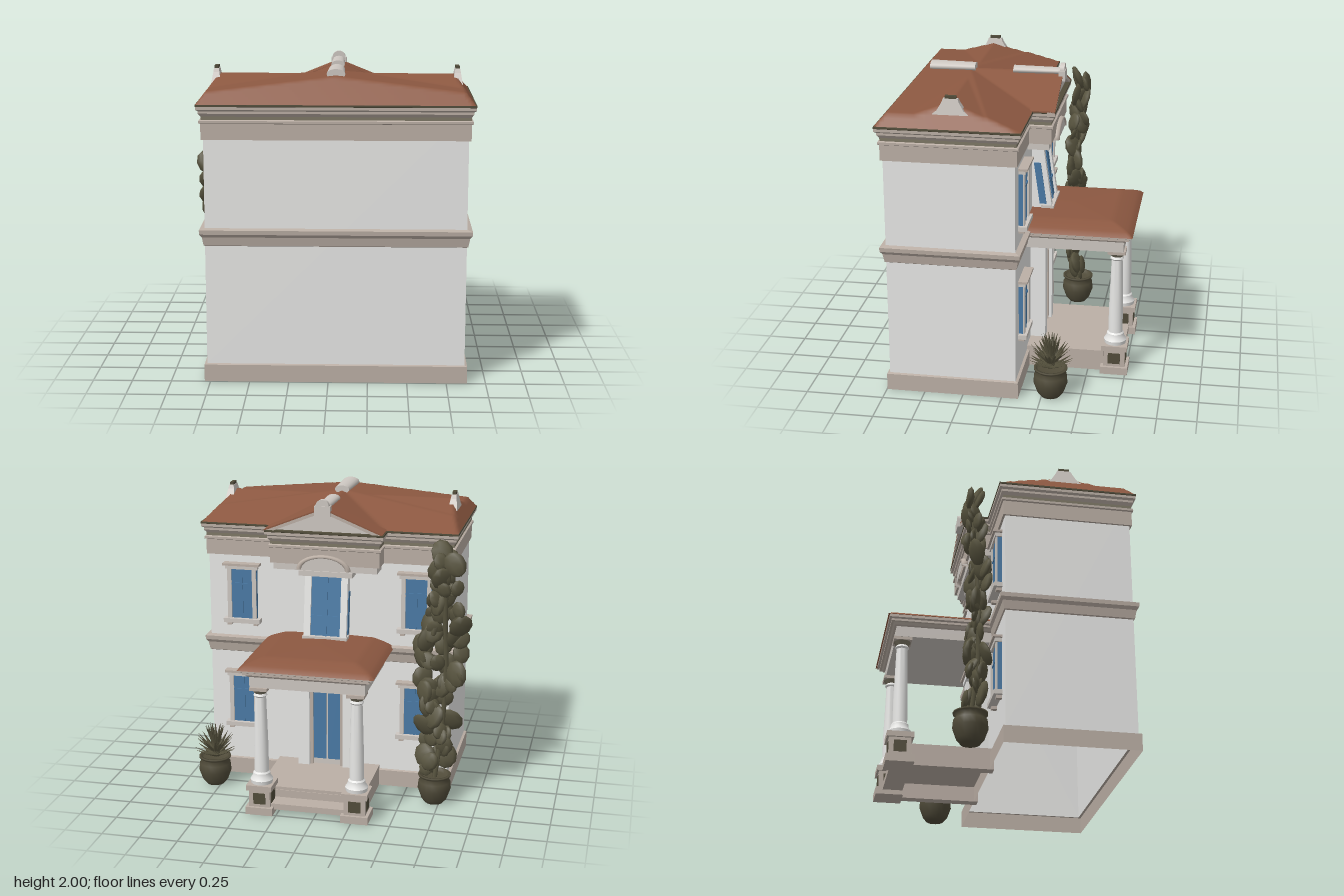
import * as THREE from 'three';
import { toCreasedNormals } from 'three/addons/utils/BufferGeometryUtils.js';

const mat = (name, color, side = THREE.FrontSide) => {
  const m = new THREE.MeshStandardMaterial({ color, side });
  m.name = name;
  return m;
};

export function createModel() {
  const plaster = mat('white plaster', 0xececea, THREE.DoubleSide), stone = mat('warm stone', 0xbbafa5, THREE.DoubleSide);
  const tile = mat('terracotta roof', 0x8c5841, THREE.DoubleSide), glass = mat('blue glass', 0x4a7aa5);
  const bronze = mat('weathered bronze', 0x7d7765), leaf = mat('dark foliage', 0x58543f, THREE.DoubleSide);
  const pale = mat('pale stone', 0xcdc7c1, THREE.DoubleSide), clay = mat('plant pot', 0x514c3a, THREE.DoubleSide);
  const house = new THREE.Group();
  house.name = 'house';
  const CX = 0.045; // symmetry axis of the house

  const add = (name, geo, material, parent = house) => {
    const m = new THREE.Mesh(geo, material);
    m.name = name;
    parent.add(m);
    return m;
  };
  // block given by its limits
  const block = (name, x0, x1, y0, y1, z0, z1, material, parent = house) => {
    const g = new THREE.BoxGeometry(x1 - x0, y1 - y0, z1 - z0);
    return add(name, g.translate((x0 + x1) / 2, (y0 + y1) / 2, (z0 + z1) / 2), material, parent);
  };
  const prism = (pts, depth) => new THREE.ExtrudeGeometry(
    new THREE.Shape(pts.map(p => new THREE.Vector2(...p))), { depth, bevelEnabled: false });
  // [z, y] outline extruded along x
  const prismX = (pts, x0, x1) => prism(pts, x1 - x0).rotateY(-Math.PI / 2).translate(x1, 0, 0);

  // open shell: an [outset, y] profile swept round a footprint of [x, z, outward x, outward z]
  const shell = (name, foot, profile, material) => {
    const pos = [];
    const at = ([x, z, sx, sz], [out, y]) => [x + sx * out, y, z + sz * out];
    for (let j = 0; j + 1 < profile.length; j++) foot.forEach((c, i) => {
      const d = foot[(i + 1) % foot.length];
      const [a, b, e, f] = [at(c, profile[j]), at(d, profile[j]), at(d, profile[j + 1]), at(c, profile[j + 1])];
      pos.push(...a, ...b, ...e, ...a, ...e, ...f);
    });
    const g = new THREE.BufferGeometry();
    g.setAttribute('position', new THREE.Float32BufferAttribute(pos, 3));
    g.computeVertexNormals();
    add(name, g, material);
  };
  const rect = (x0, x1, z0, z1) => [[x0, z1, -1, 1], [x1, z1, 1, 1], [x1, z0, 1, -1], [x0, z0, -1, -1]];
  const body = rect(-0.77, 0.865, -0.09, 0.73);
  const bay = [[0.39, -0.09, 1, -1], [0.39, -0.232, 1, -1], [-0.31, -0.232, -1, -1], [-0.31, -0.09, -1, -1]];
  const withBay = [...body.slice(0, 3), ...bay, body[3]];

  // walls and horizontal mouldings
  shell('plinth', body, [[0.017, 0], [0.017, 0.11], [0, 0.115]], stone);
  shell('walls', body, [[0, 0.11], [0, 1.75]], plaster);
  shell('middleFrieze', body, [[0, 0.885], [0.008, 0.89], [0.018, 0.945]], stone);
  shell('middleCornice', body, [[0.018, 0.945], [0.032, 0.965], [0.034, 0.992], [0, 1]], stone);
  shell('frieze', withBay, [[0, 1.56], [0.014, 1.56], [0.014, 1.66], [0.024, 1.665], [0.024, 1.68], [0.012, 1.685]], stone);
  shell('friezeShadowLine', withBay, [[0.012, 1.685], [0.012, 1.705]], bronze);
  shell('cornice', withBay, [[0.012, 1.705], [0.026, 1.725], [0.026, 1.74], [0.04, 1.75], [0.04, 1.768]], stone);
  shell('gutter', withBay, [[0.04, 1.768], [0.043, 1.77], [0.043, 1.781], [0, 1.781]], clay);

  // main roof: steep edges on three sides, shallow cross ridges above
  const roof = new THREE.PlaneGeometry(1.71, 0.9, 96, 72).rotateX(-Math.PI / 2).translate(CX, 0, 0.32);
  const rp = roof.attributes.position;
  for (let i = 0; i < rp.count; i++) {
    const z = rp.getZ(i), ax = Math.abs(rp.getX(i) - CX);
    const top = Math.max(0.14 - 0.31 * Math.abs(z - 0.32), 0.16 - 0.11 * ax);
    const slope = Math.min(top, 1.3 * (0.855 - ax), 0.34 * (z + 0.13));
    rp.setY(i, 1.782 + Math.max(0, Math.min(1.15 * (0.77 - z), Math.max(slope, 0.16 - 0.42 * ax))));
  }
  roof.computeVertexNormals();
  add('mainRoof', roof, tile);

  // pediment above the projecting bay
  add('pedimentFace', prism([[-0.32, 1.78], [0.41, 1.78], [CX, 1.925]], 0.13).translate(0, 0, -0.24), pale);
  for (const s of [-1, 1]) {
    const rake = (lo, hi) => [[CX + s * 0.39, 1.78 + lo], [CX, 1.938 + lo], [CX, 1.938 + hi], [CX + s * 0.39, 1.78 + hi]];
    add('pedimentRake', prism(rake(-0.026, 0), 0.05).translate(0, 0, -0.27), stone);
    add('pedimentRoof', prism(rake(-0.004, 0.005), 0.16).translate(0, 0, -0.272), tile);
  }

  // ridge stones and finial
  const ridgeCap = (z0, z1, y, r) => {
    const g = new THREE.CylinderGeometry(r, r * 0.85, z1 - z0, 16).rotateX(Math.PI / 2);
    add('ridgeCap', g.scale(1, 0.55, 1).translate(CX, y, (z0 + z1) / 2), pale);
  };
  ridgeCap(0.3, 0.595, 1.95, 0.058);
  ridgeCap(-0.26, 0.05, 1.945, 0.045);
  block('finialBlock', CX - 0.052, CX + 0.052, 1.89, 1.955, -0.288, -0.245, pale);
  add('finialDisc', new THREE.CylinderGeometry(0.045, 0.045, 0.03, 20).rotateX(Math.PI / 2).translate(CX, 1.953, -0.268), pale);

  // end chimneys, thinning towards the top
  const half = [[0.115, 1.825], [0.11, 1.862], [0.085, 1.88], [0.055, 1.93], [0.045, 1.955]];
  const scroll = [...half.map(([z, y]) => [0.31 + z, y]), ...half.slice().reverse().map(([z, y]) => [0.31 - z, y])];
  for (const x of [-0.72, 0.81]) {
    const g = prismX(scroll, -0.034, 0.034), p = g.attributes.position;
    for (let i = 0; i < p.count; i++) p.setX(i, p.getX(i) * (1.1 - 5 * (p.getY(i) - 1.825)));
    g.computeVertexNormals();
    add('endChimney', g.translate(x, 0, 0), pale);
    block('endChimneyCap', x - 0.013, x + 0.013, 1.945, 1.972, 0.275, 0.345, clay);
  }

  // side windows with frame, bars, sill and hood
  const makeWindow = (x, y0, y1) => {
    const g = new THREE.Group();
    g.name = 'window';
    house.add(g);
    const b = (n, a, c, d, e, z0, m) => block(n, x + a, x + c, d, e, z0, -0.088, m, g);
    b('pane', -0.1, 0.1, y0, y1, -0.117, glass);
    for (const s of [-1, 1]) b('jamb', s * 0.085 - 0.014, s * 0.085 + 0.014, y0, y1, -0.128, pale);
    b('centreBar', -0.006, 0.006, y0, y1, -0.123, glass);
    const bar = y0 + (y1 - y0) * 0.68;
    b('crossBar', -0.085, 0.085, bar, bar + 0.012, -0.123, glass);
    b('sill', -0.125, 0.125, y0 - 0.03, y0, -0.145, pale);
    b('head', -0.11, 0.11, y1, y1 + 0.025, -0.135, pale);
    b('hood', -0.125, 0.125, y1 + 0.025, y1 + 0.04, -0.15, stone);
    for (const s of [-1, 1]) b('bracket', s * 0.09 - 0.015, s * 0.09 + 0.015, y0 - 0.05, y0 - 0.03, -0.125, stone);
  };
  for (const x of [CX - 0.59, CX + 0.59]) {
    makeWindow(x, 0.39, 0.72);
    makeWindow(x, 1.13, 1.47);
  }

  // entrance door in its projecting surround
  for (const s of [-1, 1]) {
    const x = CX + s * 0.155;
    block('doorPilaster', x - 0.04, x + 0.04, 0.14, 0.79, -0.19, -0.08, plaster);
    block('doorStrip', x - s * 0.05 - 0.012, x - s * 0.05 + 0.012, 0.14, 0.77, -0.17, -0.08, stone);
    block('doorLeaf', CX + s * 0.05 - 0.044, CX + s * 0.05 + 0.044, 0.18, 0.76, -0.158, -0.149, glass);
  }
  block('doorBack', CX - 0.12, CX + 0.12, 0.14, 0.8, -0.15, -0.08, pale);
  block('doorHead', CX - 0.205, CX + 0.205, 0.79, 0.82, -0.2, -0.08, plaster);
  block('doorHood', CX - 0.21, CX + 0.21, 0.82, 0.84, -0.215, -0.08, stone);

  // balcony door, splayed forward at its foot
  const lean = (name, x0, x1, y0, y1, out, thick, material) => {
    const z = y => -0.2 + (y - 1.04) * 0.14 - out;
    add(name, prismX([[z(y0), y0], [z(y0) + thick, y0], [z(y1) + thick, y1], [z(y1), y1]], x0, x1), material);
  };
  add('balconySplay', prismX([[-0.09, 1.02], [-0.195, 1.04], [-0.13, 1.5], [-0.09, 1.5]], CX - 0.14, CX + 0.14), plaster);
  lean('balconyPane', CX - 0.1, CX + 0.1, 1.07, 1.47, 0.009, 0.008, glass);
  for (const s of [-1, 1]) {
    lean('balconyJamb', CX + s * 0.122 - 0.022, CX + s * 0.122 + 0.022, 1.05, 1.5, 0.025, 0.03, plaster);
    lean('balconySideGlass', CX + s * 0.143 - 0.004, CX + s * 0.143 + 0.004, 1.08, 1.36, -0.008, 0.045, glass);
  }
  lean('balconyCentre', CX - 0.01, CX + 0.01, 1.07, 1.47, 0.016, 0.008, glass);
  lean('balconyRail', CX - 0.1, CX + 0.1, 1.19, 1.205, 0.016, 0.008, glass);
  block('balconySill', CX - 0.15, CX + 0.15, 1.03, 1.07, -0.235, -0.15, pale);
  block('balconyHead', CX - 0.18, CX + 0.18, 1.47, 1.505, -0.2, -0.08, pale);
  block('bayBeam', -0.305, 0.385, 1.515, 1.56, -0.228, -0.08, pale);
  const hood = new THREE.CylinderGeometry(0.16, 0.16, 0.05, 24, 1, false, Math.PI / 2, Math.PI).rotateX(Math.PI / 2);
  add('balconyArchPanel', hood.scale(1, 0.55, 1).translate(CX, 1.53, -0.24), pale);
  const arch = new THREE.TorusGeometry(0.16, 0.02, 8, 24, Math.PI).scale(1, 0.55, 1.2);
  add('balconyArch', arch.translate(CX, 1.53, -0.25), stone);

  // porch floor, columns and beams
  block('porchFloor', -0.25, 0.34, 0.1, 0.14, -0.6, -0.08, stone);
  block('porchStep', -0.22, 0.31, 0.03, 0.07, -0.72, -0.59, stone);
  block('porchRiser', -0.22, 0.31, 0.03, 0.12, -0.605, -0.59, stone);
  const columnProfile = [[0, 0.2], [0.07, 0.2], [0.074, 0.225], [0.058, 0.25], [0.056, 0.27], [0.047, 0.28], [0.046, 0.45],
    [0.036, 0.79], [0.045, 0.8], [0.038, 0.815]].map(p => new THREE.Vector2(...p));
  const capitalProfile = [[0.038, 0.815], [0.058, 0.845], [0, 0.845]].map(p => new THREE.Vector2(...p));
  for (const s of [-1, 1]) {
    const x = CX + s * 0.315, z = -0.675;
    const sq = (n, r, y0, y1, m) => block(n, x - r, x + r, y0, y1, z - r, z + r, m);
    block('porchSideWall', x - 0.035, x + 0.035, 0, 0.14, -0.6, -0.08, stone);
    sq('pedestalBase', 0.09, 0, 0.05, stone);
    sq('pedestal', 0.07, 0.05, 0.165, stone);
    for (const t of [-1, 1]) block('pedestalPanel', x + t * 0.071 - 0.003, x + t * 0.071 + 0.003, 0.07, 0.145, z - 0.04, z + 0.04, clay);
    block('pedestalFrontPanel', x - 0.04, x + 0.04, 0.07, 0.145, z - 0.074, z - 0.068, clay);
    sq('pedestalCap', 0.085, 0.165, 0.2, stone);
    add('column', toCreasedNormals(new THREE.LatheGeometry(columnProfile, 24), 0.6).translate(x, 0, z), plaster);
    add('capital', toCreasedNormals(new THREE.LatheGeometry(capitalProfile, 24), 0.6).translate(x, 0, z), bronze);
    sq('capitalSlab', 0.058, 0.84, 0.862, stone);
  }
  block('porchCeiling', -0.33, 0.42, 0.86, 0.94, -0.72, -0.08, pale);
  shell('porchCornice', rect(-0.33, 0.42, -0.72, -0.08),
    [[0, 0.93], [0.012, 0.935], [0.022, 0.95], [0.036, 0.952], [0.036, 0.966], [0.05, 0.972], [0.05, 0.99]], stone);

  // porch roof with rounded hips
  const cap = new THREE.PlaneGeometry(0.88, 0.69, 44, 34).rotateX(-Math.PI / 2).translate(CX, 0, -0.435);
  const cp = cap.attributes.position;
  for (let i = 0; i < cp.count; i++) {
    const d = Math.max(0, Math.min(0.44 - Math.abs(cp.getX(i) - CX), cp.getZ(i) + 0.78));
    cp.setY(i, 0.985 + 0.055 * Math.pow(Math.min(1, d / 0.14), 0.6) + 0.018 * Math.min(1, d / 0.44));
  }
  cap.computeVertexNormals();
  add('porchRoof', cap, tile);

  // planters
  const potProfile = [[0, 0], [0.06, 0], [0.085, 0.03], [0.11, 0.1], [0.105, 0.15], [0.088, 0.175], [0.108, 0.19],
    [0.108, 0.2], [0.09, 0.2], [0.085, 0.175], [0, 0.175]].map(p => new THREE.Vector2(...p));
  for (const [x, z] of [[-0.715, -0.295], [0.795, -0.305]]) add('pot', new THREE.LatheGeometry(potProfile, 18).translate(x, 0, z), clay);

  // spiky shrub: rings of pointed blades
  const shrub = new THREE.Group();
  shrub.name = 'shrub';
  shrub.position.set(0.79, 0.18, -0.305);
  house.add(shrub);
  for (let i = 0; i < 54; i++) {
    const tier = Math.floor(i / 18), tilt = [1.15, 0.8, 0.35][tier], len = [0.155, 0.18, 0.19][tier];
    const blade = new THREE.ConeGeometry(0.028, len, 4).scale(1, 1, 0.3).translate(0, len / 2, 0);
    blade.rotateX(tilt).translate(0, 0.015 + tier * 0.02, 0).rotateY(i * 2.4);
    add('blade', blade, leaf, shrub);
  }

  // climbing vine: stem with overlapping flat leaves
  let seed = 7;
  const rnd = () => (seed = (seed * 16807) % 2147483647) / 2147483647;
  const stem = new THREE.CatmullRomCurve3([[-0.715, 0.17, -0.295], [-0.75, 0.5, -0.26], [-0.77, 0.9, -0.26],
    [-0.76, 1.3, -0.28], [-0.77, 1.68, -0.3]].map(p => new THREE.Vector3(...p)));
  add('vineStem', new THREE.TubeGeometry(stem, 24, 0.016, 6), leaf);
  for (let i = 0; i < 66; i++) {
    const t = 0.06 + 0.94 * i / 65, p = stem.getPoint(t), r = 0.045 + 0.035 * rnd();
    const wide = 0.05 + 0.1 * Math.sin(Math.PI * t);
    const m = add('vineLeaf', new THREE.SphereGeometry(r, 7, 5).scale(1, 1.15, 0.35), leaf);
    m.position.set(p.x + (rnd() - 0.43) * 2 * wide, p.y + (rnd() - 0.5) * 0.04, p.z + (rnd() - 0.5) * 0.1);
    m.position.x = Math.max(m.position.x, -0.86);
    m.rotation.set((rnd() - 0.5) * 0.9, (rnd() - 0.5) * 1.6, (rnd() - 0.5) * 1.2);
  }
  return house;
}
